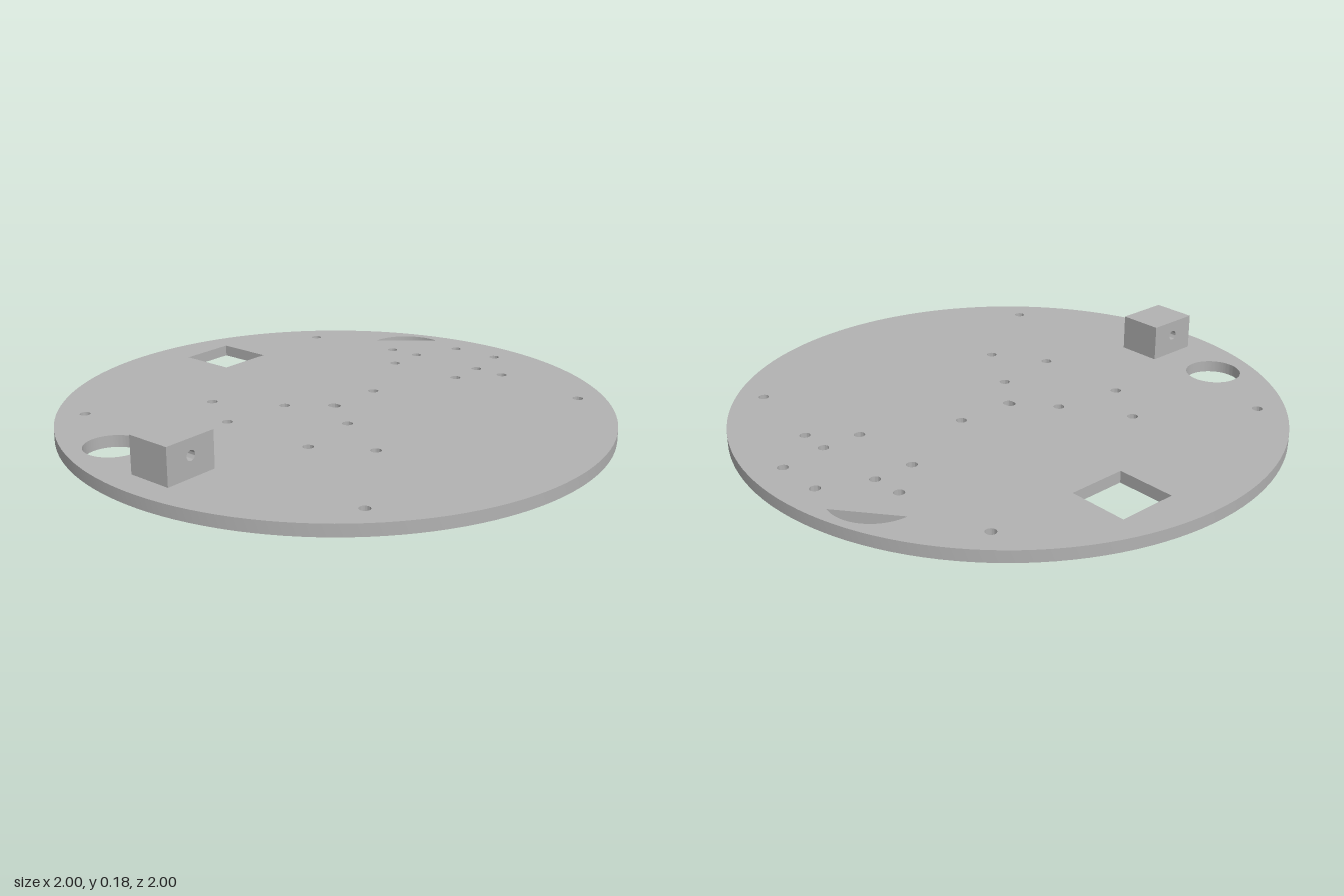
import * as THREE from 'three';
import { toCreasedNormals } from 'three/addons/utils/BufferGeometryUtils.js';

const THICKNESS = 0.043;
const HOLE_RADIUS = 0.019;

// Outlines are drawn in (x, -z), so that turning them flat puts them at (x, z).
function circlePath(x, z, r) {
  return new THREE.Path().absarc(x, -z, r, 0, Math.PI * 2, true);
}

function polygonPath(points) {
  return new THREE.Path(points.map(([x, z]) => new THREE.Vector2(x, -z))).closePath();
}

function createPlate(material) {
  const shape = new THREE.Shape().absarc(0, 0, 1, 0, Math.PI * 2, false);

  // mounting holes in mirrored pairs: [x, z]
  const pairs = [
    [0.267, -0.695], [0.147, -0.7], [0.147, -0.552], [0.635, -0.635],
    [0.147, 0.115], [0.38, 0.253], [0.187, 0.37], [0.635, 0.635],
  ];
  for (const [x, z] of pairs) {
    for (const side of [-1, 1]) shape.holes.push(circlePath(side * x, z, HOLE_RADIUS));
  }

  // single mounting holes
  for (const [x, z] of [[-0.07, -0.877], [0.117, -0.877], [0, -0.22]]) {
    shape.holes.push(circlePath(x, z, HOLE_RADIUS));
  }

  // short slot at the centre
  const slot = new THREE.Path();
  slot.absarc(-0.002, 0, HOLE_RADIUS, -Math.PI / 2, Math.PI / 2, false);
  slot.absarc(-0.012, 0, HOLE_RADIUS, Math.PI / 2, Math.PI * 1.5, false);
  shape.holes.push(slot);

  // large round and square openings
  shape.holes.push(circlePath(-0.315, 0.777, 0.102));
  shape.holes.push(polygonPath([[-0.848, -0.293], [-0.631, -0.293], [-0.631, -0.075], [-0.848, -0.075]]));

  // opening with a rounded outer corner near the back rim
  const rounded = new THREE.Path();
  rounded.moveTo(-0.202, 0.765);
  rounded.absarc(-0.244, 0.77, 0.158, Math.acos(0.042 / 0.158), Math.PI, false);
  rounded.lineTo(-0.402, 0.765);
  rounded.closePath();
  shape.holes.push(rounded);

  const geometry = new THREE.ExtrudeGeometry(shape, {
    depth: THICKNESS, bevelEnabled: false, curveSegments: 64,
  });
  geometry.rotateX(-Math.PI / 2);
  const plate = new THREE.Mesh(toCreasedNormals(geometry, 0.5), material);
  plate.name = 'roundPlate';
  return plate;
}

// block with a hole bored through it from side to side
function createBlock(material) {
  const width = 0.166, height = 0.133, halfDepth = 0.1;
  const shape = new THREE.Shape();
  shape.moveTo(-halfDepth, 0);
  shape.lineTo(halfDepth, 0);
  shape.lineTo(halfDepth, height);
  shape.lineTo(-halfDepth, height);
  shape.closePath();
  shape.holes.push(circlePath(0, -0.075, 0.018));

  const geometry = new THREE.ExtrudeGeometry(shape, {
    depth: width, bevelEnabled: false, curveSegments: 32,
  });
  geometry.translate(0, 0, -width / 2);
  geometry.rotateY(Math.PI / 2);
  const block = new THREE.Mesh(toCreasedNormals(geometry, 0.5), material);
  block.name = 'frontBlock';
  block.position.set(-0.001, THICKNESS, 0.8);
  return block;
}

export function createModel() {
  const grey = new THREE.MeshStandardMaterial({ color: 0xb2b2b2 });
  grey.name = 'grey';

  const model = new THREE.Group();
  model.name = 'roundBasePlate';
  model.add(createPlate(grey), createBlock(grey));
  return model;
}
